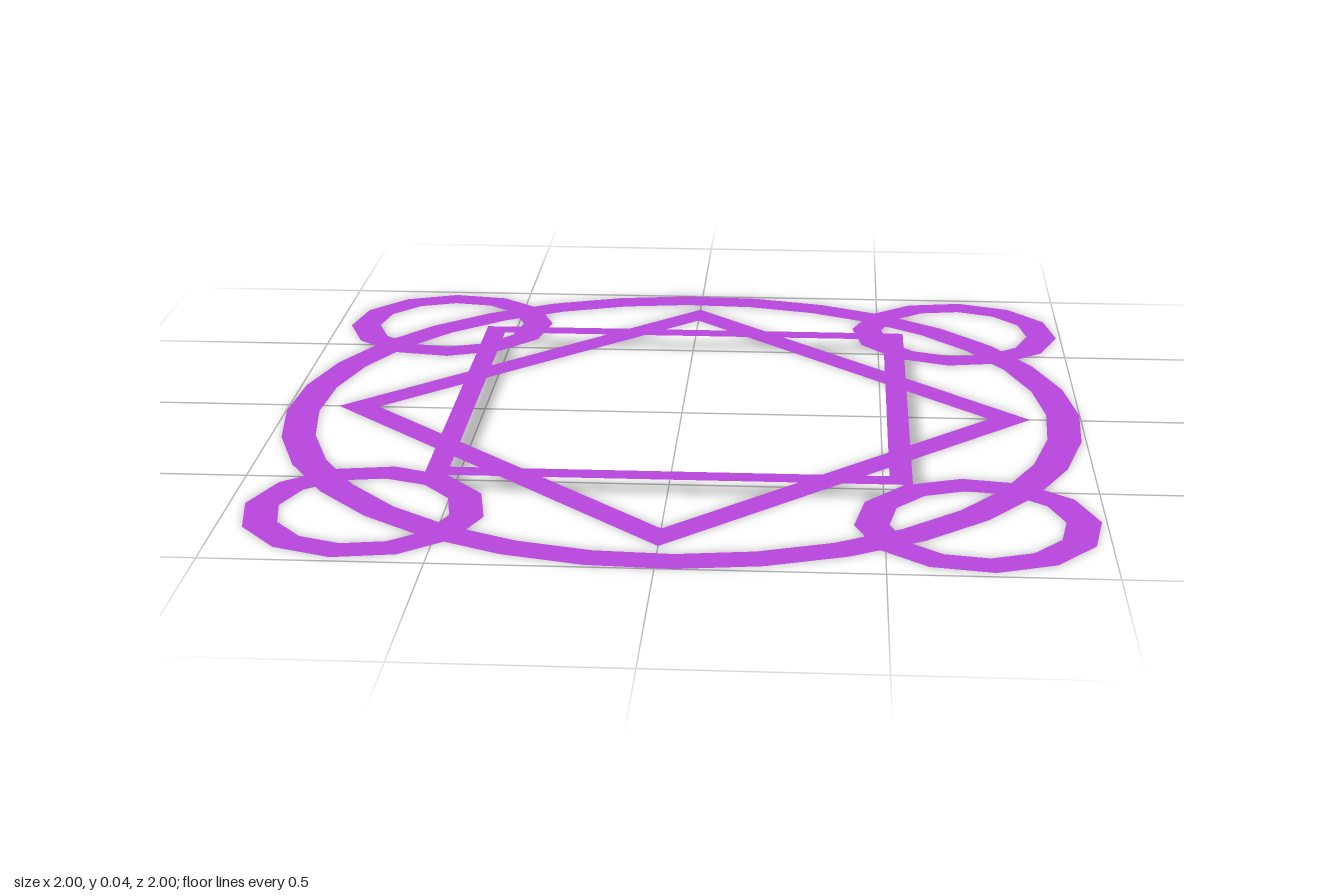
import * as THREE from 'three';

const purple = new THREE.MeshStandardMaterial({ color: 0xba46e0, side: THREE.DoubleSide });
purple.name = 'purple';

// Flat horizontal polygonal band; turn is counter-clockwise from above
function band(name, inner, outer, sides, turnDegrees, x = 0, y = 0, z = 0) {
  const geometry = new THREE.RingGeometry(inner, outer, sides, 1, THREE.MathUtils.degToRad(turnDegrees));
  geometry.rotateX(-Math.PI / 2);
  const mesh = new THREE.Mesh(geometry, purple);
  mesh.name = name;
  mesh.position.set(x, y, z);
  return mesh;
}

export function createModel() {
  const model = new THREE.Group();
  model.name = 'magicCircle';

  // Large outer ring
  model.add(band('outerRing', 0.917, 1, 32, 2.4));

  // Diamond in the ring's plane, with the square floating just above it
  model.add(band('diamond', 0.771, 0.873, 4, 0));
  model.add(band('square', 0.513 * Math.SQRT2, 0.566 * Math.SQRT2, 4, 45, 0, 0.038, 0));

  // Four small twelve-sided rings, turned in mirrored pairs
  for (const [sideName, x] of [['left', 0.71], ['right', -0.685]]) {
    for (const [endName, z] of [['front', 0.7], ['back', -0.695]]) {
      const turn = 5.2 * Math.sign(x) * Math.sign(z);
      model.add(band(`${endName}_${sideName}_cornerRing`, 0.2, 0.28, 12, turn, x, 0, z));
    }
  }
  return model;
}
